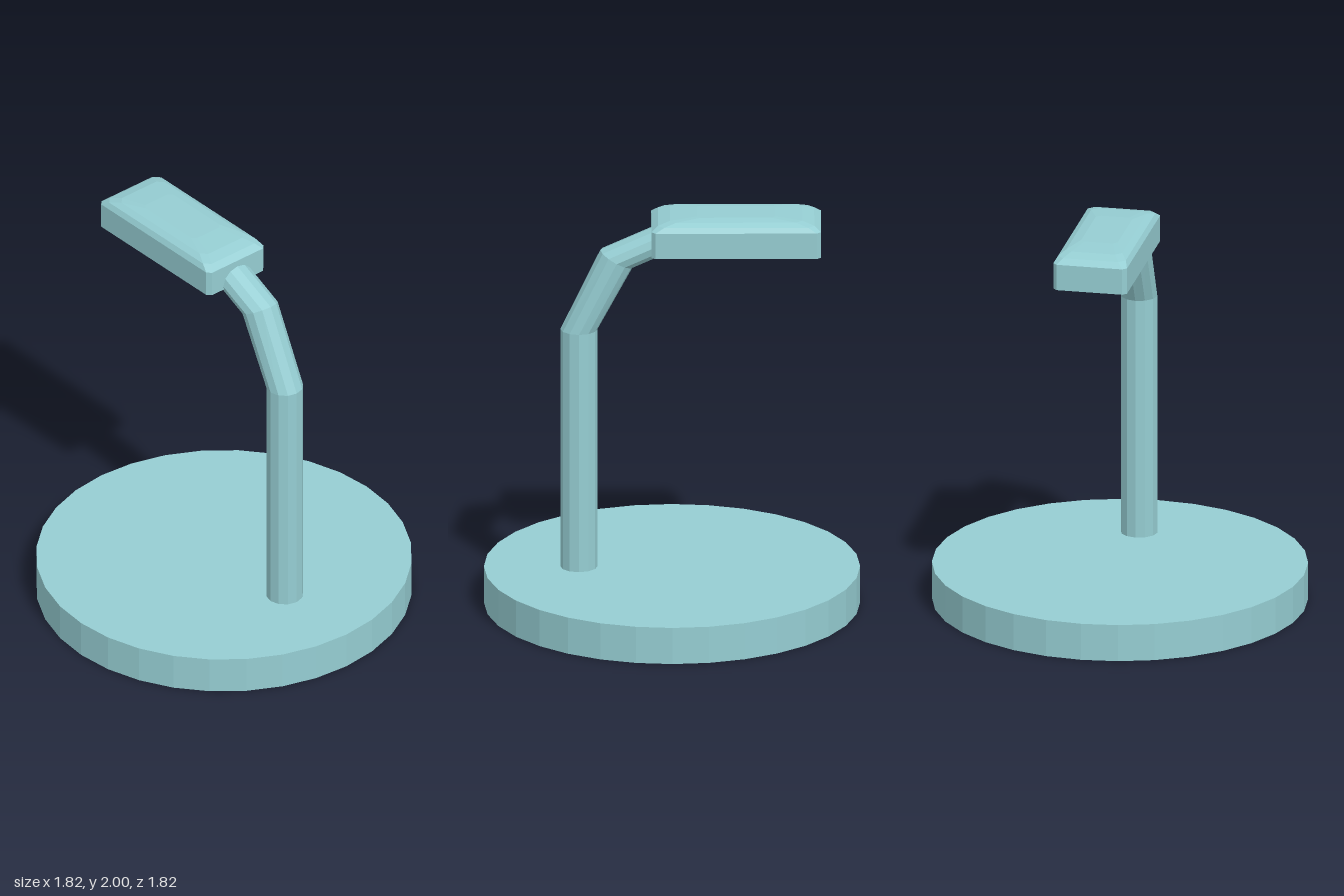
import * as THREE from 'three';

// Skin a list of closed rings (counter-clockwise around the travel direction) and cap both ends
function loft(rings) {
  const n = rings[0].length, last = (rings.length - 1) * n, index = [];
  for (let r = 0; r < rings.length - 1; r++) {
    for (let i = 0; i < n; i++) {
      const a = r * n + i, b = r * n + (i + 1) % n;
      index.push(a, b, b + n, a, b + n, a + n);
    }
  }
  for (let i = 1; i < n - 1; i++) {
    index.push(0, i + 1, i, last, last + i, last + i + 1);
  }
  const geometry = new THREE.BufferGeometry();
  geometry.setAttribute('position', new THREE.Float32BufferAttribute(rings.flat(2), 3));
  geometry.setIndex(index);
  geometry.computeVertexNormals();
  return geometry;
}

// Twelve-sided tube ring, tilted about z
function tubeRing(x, y, tilt, radius = 0.09, sides = 12) {
  return Array.from({ length: sides }, (_, i) => {
    const a = (i / sides) * Math.PI * 2, u = radius * Math.cos(a);
    return [x + u * Math.cos(tilt), y + u * Math.sin(tilt), -radius * Math.sin(a)];
  });
}

// Horizontal rectangle with chamfered corners
function headRing(y, hx, hz, c) {
  const corners = [
    [hx, hz - c], [hx, -hz + c], [hx - c, -hz], [-hx + c, -hz],
    [-hx, -hz + c], [-hx, hz - c], [-hx + c, hz], [hx - c, hz],
  ];
  return corners.map(([x, z]) => [x, y, z]);
}

export function createModel() {
  const group = new THREE.Group();
  const material = new THREE.MeshStandardMaterial({ color: 0x95cdd2, flatShading: true });
  const add = (name, geometry, x = 0, y = 0) => {
    const mesh = new THREE.Mesh(geometry, material);
    mesh.name = name;
    mesh.position.set(x, y, 0);
    group.add(mesh);
  };

  // Round foot
  add('base', new THREE.CylinderGeometry(0.91, 0.91, 0.185, 32), 0, 0.0925);

  // Upright pole bending over into the head
  const tilt = 0.505;
  add('bentPole', loft([
    tubeRing(0.45, 0.18, 0),
    tubeRing(0.45, 1.4, 0),
    tubeRing(0.268, 1.762, tilt),
    tubeRing(-0.05, 1.906, tilt),
  ]));

  // Lamp head with a softly domed top
  add('lampHead', loft([
    headRing(1.82, 0.41, 0.182, 0.02),
    headRing(1.95, 0.41, 0.182, 0.02),
    headRing(1.975, 0.378, 0.167, 0.03),
    headRing(1.991, 0.32, 0.138, 0.03),
    headRing(2.0, 0.19, 0.09, 0.02),
  ]), -0.31);

  return group;
}
